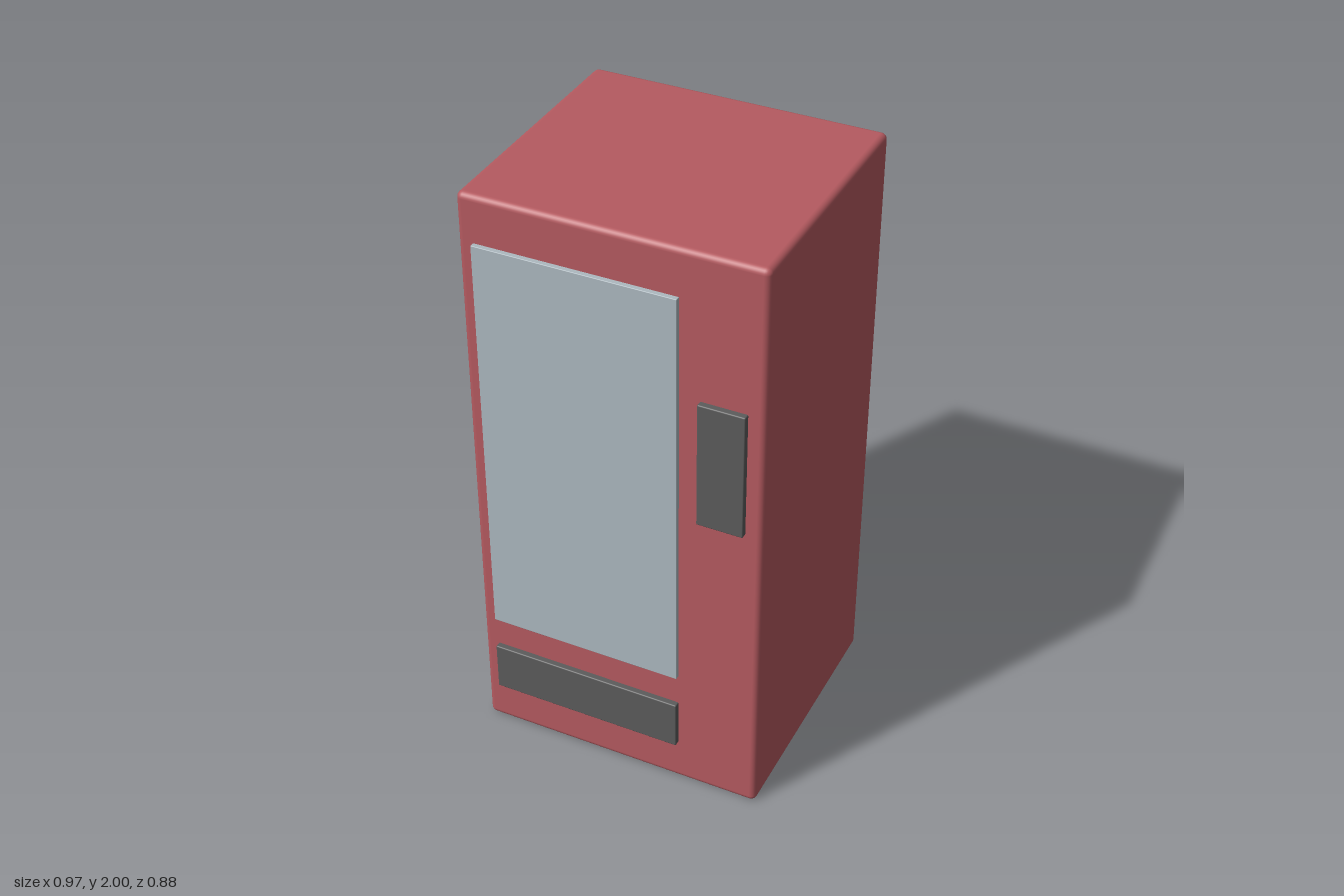
import * as THREE from 'three';
import { RoundedBoxGeometry } from 'three/addons/geometries/RoundedBoxGeometry.js';

const RED = 0xb55a60, GLASS = 0xadb9c0, DARK = 0x5c5c5c;

// Rounded block given by its limits on each axis
function block(name, color, [x0, x1], [y0, y1], [z0, z1], radius, segments) {
  const geometry = new RoundedBoxGeometry(x1 - x0, y1 - y0, z1 - z0, segments, radius);
  const mesh = new THREE.Mesh(geometry, new THREE.MeshStandardMaterial({ color }));
  mesh.name = name;
  mesh.position.set((x0 + x1) / 2, (y0 + y1) / 2, (z0 + z1) / 2);
  return mesh;
}

export function createModel() {
  const model = new THREE.Group();
  model.name = 'vendingMachine';

  // Cabinet with softened edges
  model.add(block('cabinet', RED, [-0.485, 0.485], [0, 2], [-0.44, 0.42], 0.02, 3));

  // Display window, payment panel and pick-up flap, slightly proud of the front
  model.add(block('displayWindow', GLASS, [-0.435, 0.215], [0.44, 1.845], [0.4, 0.436], 0.002, 1));
  model.add(block('paymentPanel', DARK, [0.28, 0.43], [1.085, 1.515], [0.4, 0.44], 0.004, 2));
  model.add(block('pickupFlap', DARK, [-0.435, 0.215], [0.155, 0.328], [0.4, 0.44], 0.004, 2));

  return model;
}
